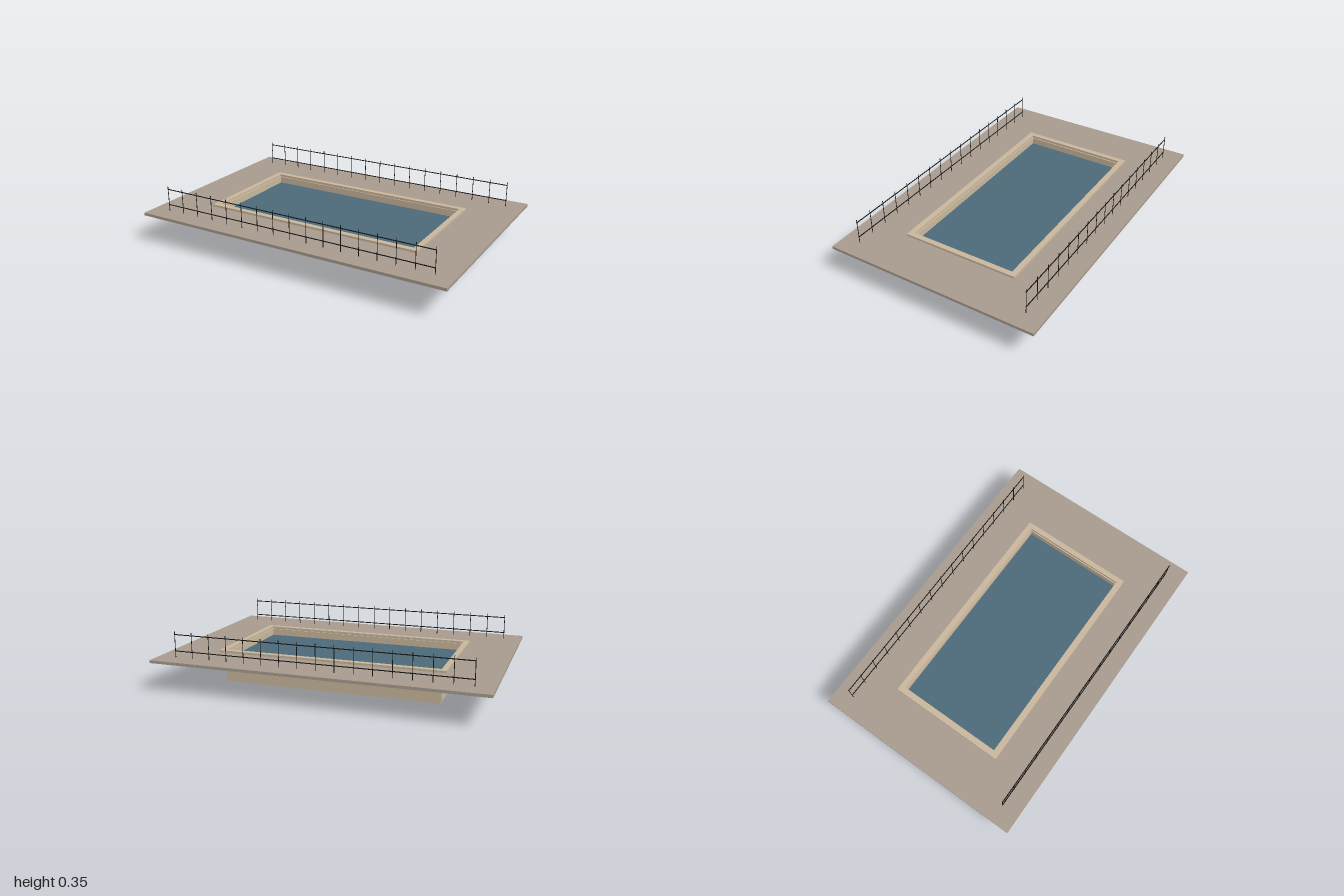
import * as THREE from 'three';

const tan = new THREE.MeshStandardMaterial({ color: 0xc9b79c });
const stone = new THREE.MeshStandardMaterial({ color: 0xa89b8e });
const blue = new THREE.MeshStandardMaterial({ color: 0x4c6a7a });
const black = new THREE.MeshStandardMaterial({ color: 0x151515 });
tan.name = 'tanStone';
stone.name = 'deckStone';
blue.name = 'waterBlue';
black.name = 'railBlack';

// Adds a named mesh to a parent
function add(parent, name, geometry, material, x = 0, y = 0, z = 0) {
  const mesh = new THREE.Mesh(geometry, material);
  mesh.name = name;
  mesh.position.set(x, y, z);
  parent.add(mesh);
  return mesh;
}

// Rectangle outline centred on the origin, given half sizes
function rectangle(Type, hx, hz) {
  return new Type([[-hx, -hz], [hx, -hz], [hx, hz], [-hx, hz]].map(([x, y]) => new THREE.Vector2(x, y)));
}

// Flat rectangular frame standing between two heights
function frame(outer, inner, bottom, top) {
  const shape = rectangle(THREE.Shape, ...outer);
  shape.holes.push(rectangle(THREE.Path, ...inner));
  return new THREE.ExtrudeGeometry(shape, { depth: top - bottom, bevelEnabled: false })
    .rotateX(-Math.PI / 2)
    .translate(0, bottom, 0);
}

// One railing: thin posts joined by two rails
function railing(name, z) {
  const group = new THREE.Group();
  group.name = name;
  group.position.z = z;
  const postGeometry = new THREE.CylinderGeometry(0.002, 0.002, 0.157, 8);
  for (let i = 0; i <= 16; i++) {
    add(group, 'railingPost', postGeometry, black, -0.89 + (i * 1.78) / 16, 0.2685, 0);
  }
  const railGeometry = new THREE.CylinderGeometry(0.003, 0.003, 1.784, 8).rotateZ(Math.PI / 2);
  add(group, 'topRail', railGeometry, black, 0, 0.329, 0);
  add(group, 'lowerRail', railGeometry, black, 0, 0.229, 0);
  return group;
}

export function createModel() {
  const model = new THREE.Group();
  model.name = 'swimmingPool';

  // Basin: floor slab and thin walls
  add(model, 'basinFloor', new THREE.BoxGeometry(1.333, 0.015, 0.667), tan, 0, 0.0075, 0);
  add(model, 'basinWalls', frame([0.673, 0.34], [0.66, 0.327], 0.0145, 0.188), tan);

  // Water fills the basin to just below the rim
  add(model, 'water', new THREE.BoxGeometry(1.32, 0.13, 0.654), blue, 0, 0.081, 0);

  // Paved deck and the raised rim around the opening
  add(model, 'deck', frame([1, 0.667], [0.669, 0.335], 0.173, 0.19), stone);
  add(model, 'coping', frame([0.7, 0.367], [0.667, 0.333], 0.185, 0.203), tan);

  // Railings along the two long sides
  model.add(railing('frontRailing', 0.557), railing('backRailing', -0.557));
  return model;
}
